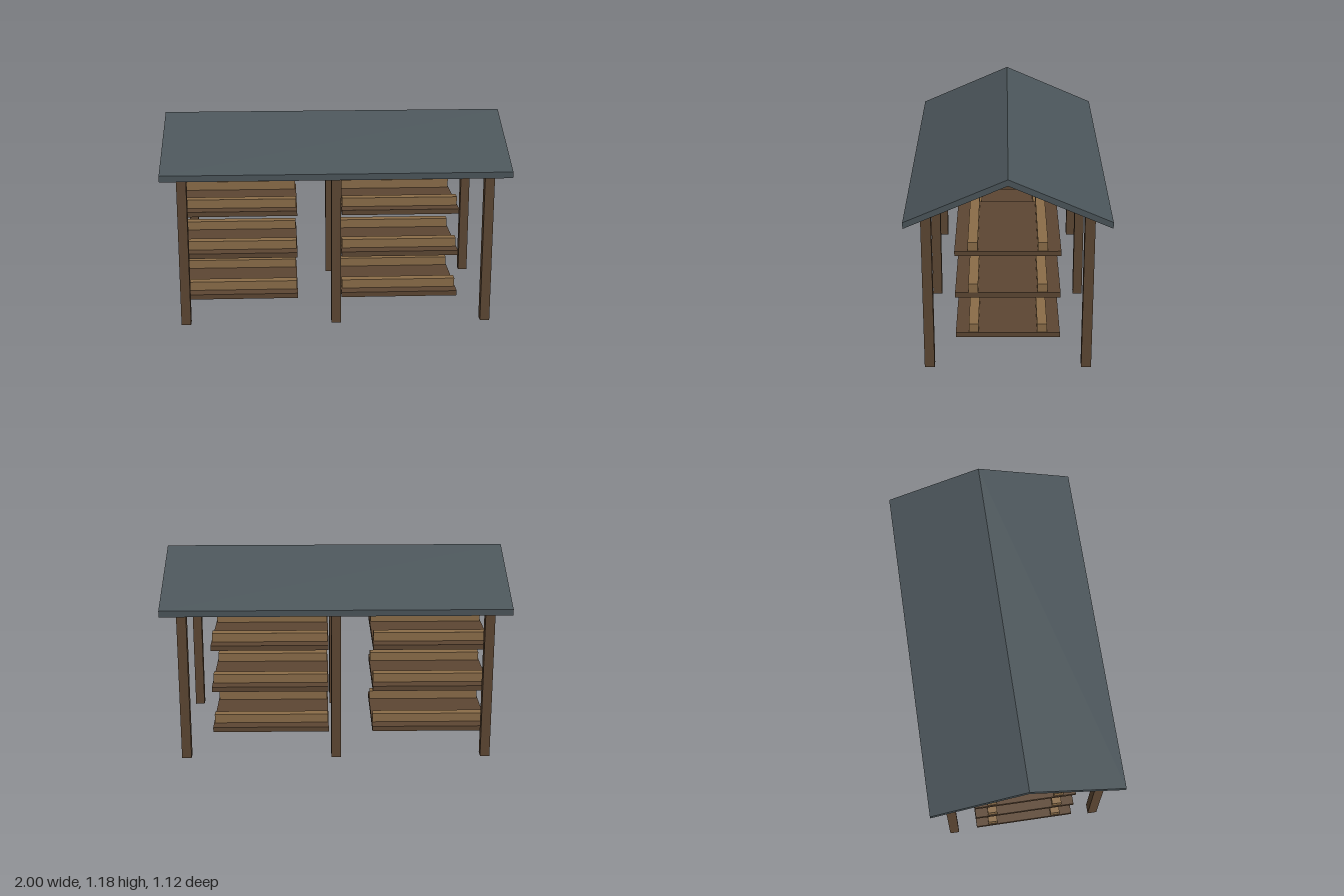
import * as THREE from 'three';

function material(name, color) {
  const m = new THREE.MeshStandardMaterial({ color });
  m.name = name;
  return m;
}

export function createModel() {
  const group = new THREE.Group();
  const darkWood = material('dark wood', 0x5c4632);
  const lightWood = material('light wood', 0x8a6c48);
  const slate = material('slate roof', 0x4a5459);

  // Box placed by its centre in x and z and its underside in y
  function box(name, mat, w, h, d, x, y, z) {
    const mesh = new THREE.Mesh(new THREE.BoxGeometry(w, h, d), mat);
    mesh.name = name;
    mesh.position.set(x, y + h / 2, z);
    group.add(mesh);
  }

  // Posts: three along each long side
  for (const z of [-0.442, 0.442]) {
    for (const x of [-0.885, 0, 0.885]) {
      box('post', darkWood, 0.056, 0.935, 0.056, x, 0, z);
    }
  }

  // Two stacks of three shelves, each shelf with a pair of rails
  for (const x of [-0.572, 0.39]) {
    for (const y of [0.093, 0.352, 0.612]) {
      box('shelf', darkWood, 0.698, 0.03, 0.598, x, y, 0);
      for (const z of [-0.196, 0.196]) {
        box('rail', lightWood, 0.688, 0.053, 0.056, x, y + 0.03, z);
      }
    }
  }

  // Gable roof: chevron section extruded along x
  const section = new THREE.Shape([
    [-0.558, 0.9], [0, 1.144], [0.558, 0.9], [0.558, 0.936], [0, 1.18], [-0.558, 0.936],
  ].map(([z, y]) => new THREE.Vector2(z, y)));
  const roofGeometry = new THREE.ExtrudeGeometry(section, { depth: 2, bevelEnabled: false });
  roofGeometry.translate(0, 0, -1).rotateY(Math.PI / 2);
  const roof = new THREE.Mesh(roofGeometry, slate);
  roof.name = 'roof';
  group.add(roof);

  return group;
}
